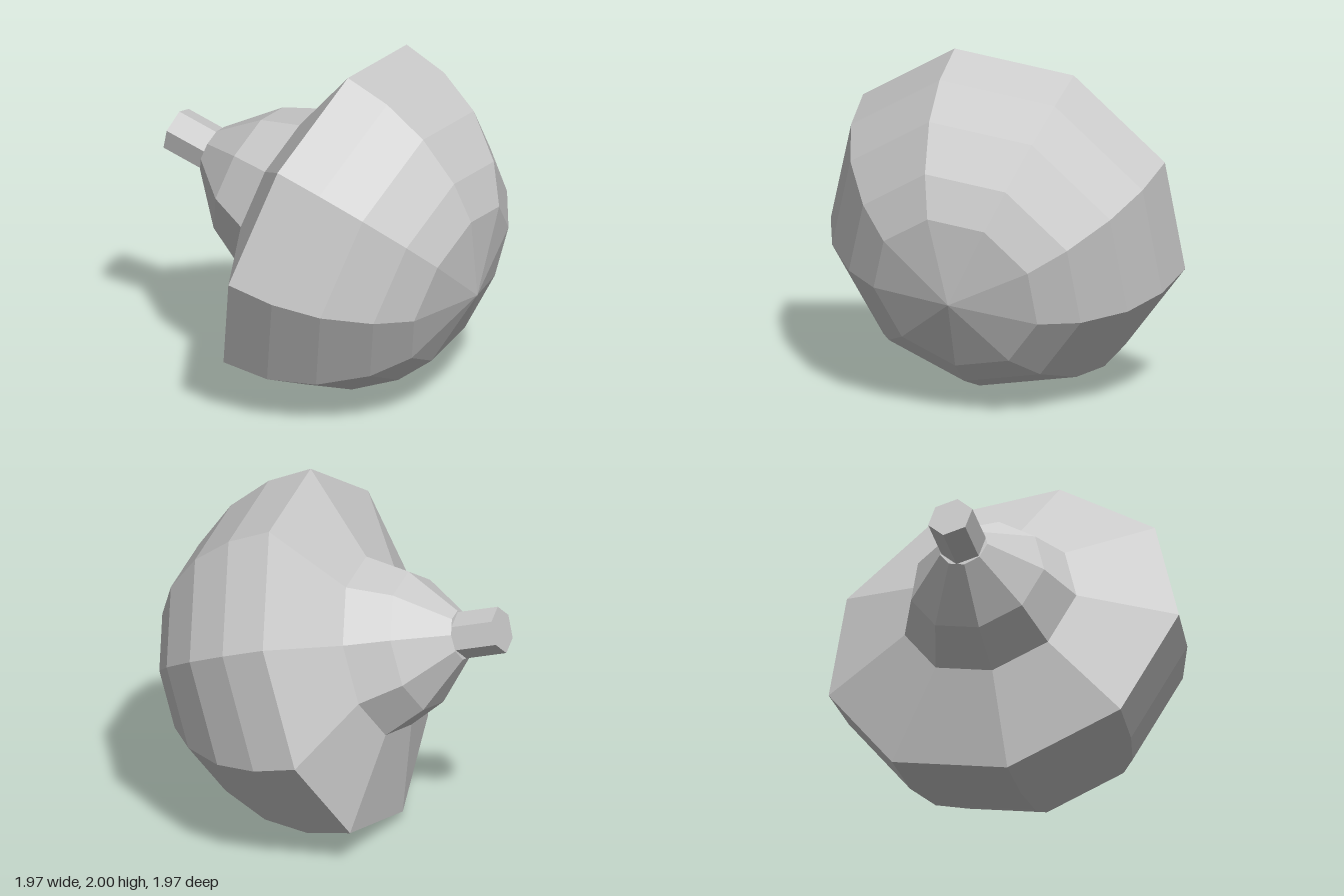
import * as THREE from 'three';

export function createModel() {
  const group = new THREE.Group();
  const material = new THREE.MeshStandardMaterial({ color: 0xcccccc, flatShading: true });
  const SIDES = 9, R = 1.04;

  const add = (name, geometry, y = 0) => {
    const mesh = new THREE.Mesh(geometry, material);
    mesh.name = name;
    mesh.position.y = y;
    group.add(mesh);
  };
  const lathe = (points) =>
    new THREE.LatheGeometry(points.map(([r, y]) => new THREE.Vector2(r, y)), SIDES);

  // Faceted dome: rings at the given elevations on a hemisphere, closed by a fan
  const rings = [0, 15, 30.5, 47.5, 61.5].map((deg) => {
    const a = THREE.MathUtils.degToRad(deg);
    return [R * Math.cos(a), R * Math.sin(a)];
  });
  add('dome', lathe([...rings, [0, 1.035]]));

  // Shallow cone behind the rim
  add('backCone', lathe([[0.51, -0.24], [R, 0]]));

  // Stepped collar narrowing to the stem
  add('collar', lathe([[0, -0.735], [0.14, -0.735], [0.395, -0.48], [0.51, -0.24]]));

  // Hexagonal stem
  add('stem', new THREE.CylinderGeometry(0.132, 0.132, 0.285, 6), -0.8425);

  // Tilt the whole piece: axis points out through the dome, one rib points up
  const axis = new THREE.Vector3(0.886, -0.291, 0.361).normalize();
  const side = axis.clone().cross(new THREE.Vector3(0.176, 0.929, 0.317)).normalize();
  const rib = side.clone().cross(axis);
  group.quaternion.setFromRotationMatrix(new THREE.Matrix4().makeBasis(side, axis, rib));
  group.position.set(-0.053, 1.034, -0.03);

  const model = new THREE.Group();
  model.name = 'tiltedDome';
  model.add(group);
  return model;
}
